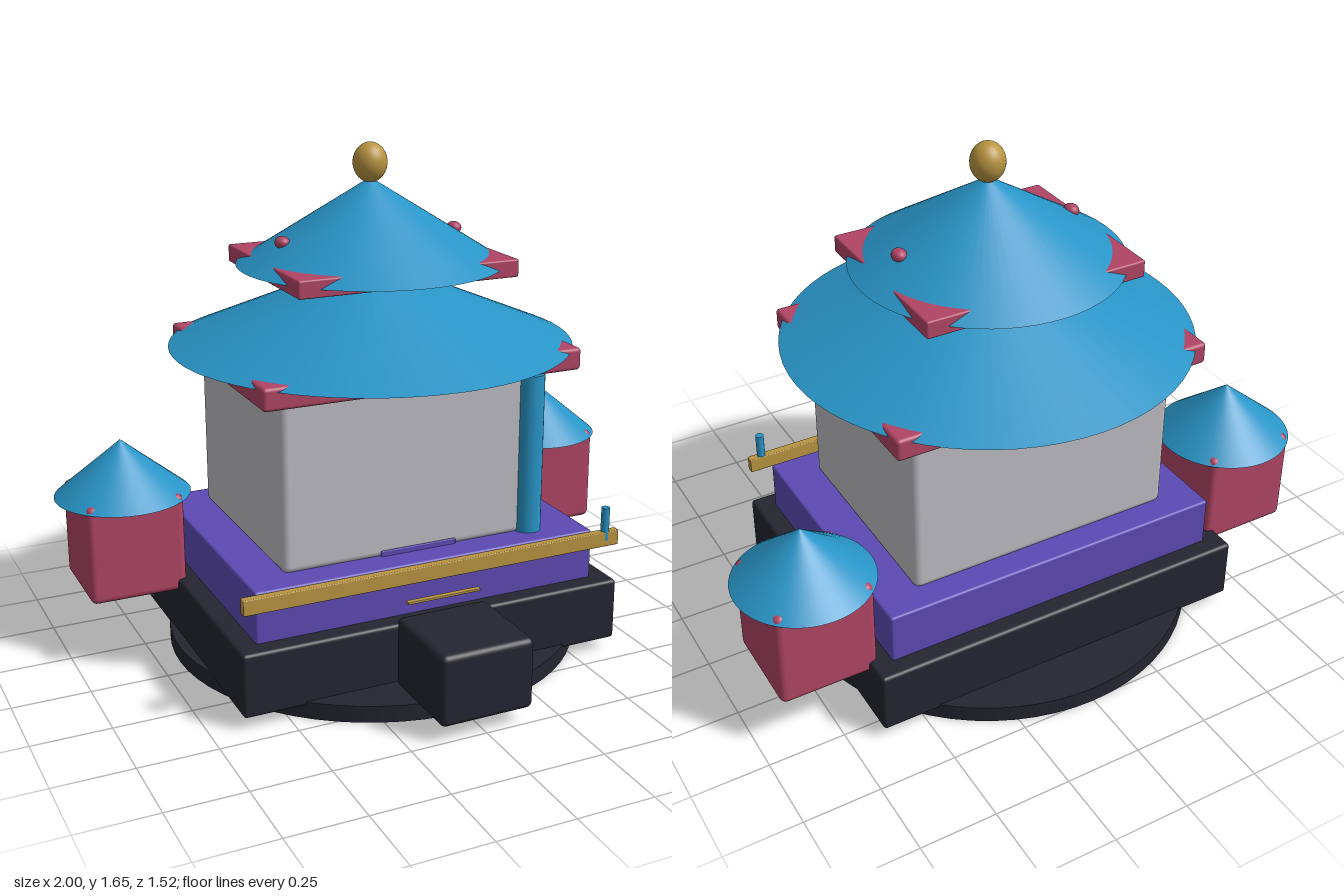
import * as THREE from 'three';
import { RoundedBoxGeometry } from 'three/addons/geometries/RoundedBoxGeometry.js';

const mat = (name, color) => {
  const m = new THREE.MeshStandardMaterial({ color });
  m.name = name;
  return m;
};

export function createModel() {
  const model = new THREE.Group();
  model.name = 'pagoda';
  const blue = mat('roof blue', 0x2894c6);
  const red = mat('eave red', 0xb04564);
  const grey = mat('wall grey', 0xbcbbc1);
  const purple = mat('plinth purple', 0x5c4ab4);
  const dark = mat('stone dark', 0x242530);
  const gold = mat('trim gold', 0xb8943f);
  const Z = -0.073; // centre line of the main building

  const add = (name, geometry, material, x, y, z, parent = model) => {
    const mesh = new THREE.Mesh(geometry, material);
    mesh.name = name;
    mesh.position.set(x, y, z);
    parent.add(mesh);
    return mesh;
  };
  // box given by its limits on each axis, with softened edges
  const block = (name, material, [x0, x1], [y0, y1], [z0, z1], r = 0.012, parent = model) =>
    add(name, new RoundedBoxGeometry(x1 - x0, y1 - y0, z1 - z0, 3, r), material,
      (x0 + x1) / 2, (y0 + y1) / 2, (z0 + z1) / 2, parent);
  const cone = (name, r, y0, y1, x, z, parent = model) =>
    add(name, new THREE.ConeGeometry(r, y1 - y0, 64), blue, x, (y0 + y1) / 2, z, parent);

  // foundation and front step
  add('foundationDisc', new THREE.CylinderGeometry(0.685, 0.685, 0.055, 64), dark, 0, 0.0275, Z);
  block('stoneBase', dark, [-0.65, 0.65], [0.04, 0.247], [-0.582, 0.44]);
  block('frontStep', dark, [-0.155, 0.155], [0.05, 0.28], [0.447, 0.757], 0.02);
  block('plinth', purple, [-0.585, 0.585], [0.235, 0.412], [-0.52, 0.38], 0.008);

  // hall with its corner column and threshold
  block('hallWalls', grey, [-0.457, 0.457], [0.405, 0.97], [-0.435, 0.287], 0.024);
  add('cornerColumn', new THREE.CylinderGeometry(0.045, 0.045, 0.53, 32), blue, 0.4, 0.675, 0.276);
  block('threshold', purple, [-0.13, 0.13], [0.405, 0.43], [0.28, 0.292], 0.003);

  // front railing
  block('rail', gold, [-0.645, 0.645], [0.376, 0.426], [0.418, 0.446], 0.003);
  add('railPost', new THREE.CylinderGeometry(0.014, 0.014, 0.11, 16), blue, 0.6, 0.452, 0.433);
  block('stepTrim', gold, [-0.125, 0.125], [0.322, 0.33], [0.453, 0.472], 0.002);

  // two roof tiers, eave corners pierce the cones
  block('lowerEave', red, [-0.535, 0.535], [0.955, 1.027], [-0.5, 0.355]);
  cone('lowerRoof', 0.652, 1.012, 1.285, 0, Z);
  block('upperEave', red, [-0.371, 0.371], [1.245, 1.302], [-0.378, 0.232], 0.006);
  cone('upperRoof', 0.43, 1.27, 1.54, 0, Z);
  add('finial', new THREE.SphereGeometry(0.055, 32, 20), gold, 0, 1.587, Z).scale.y = 1.15;

  for (const s of [-1, 1]) {
    add('roofStud', new THREE.SphereGeometry(0.028, 20, 14), red, s * 0.3, 1.356, Z).scale.set(0.85, 0.72, 1);

    // side turret
    const turret = new THREE.Group();
    turret.name = s > 0 ? 'leftTurret' : 'rightTurret';
    turret.position.set(s * 0.778, 0, -0.331);
    model.add(turret);
    block('turretBody', red, [-0.16, 0.16], [0.205, 0.538], [-0.16, 0.16], 0.022, turret);
    cone('turretRoof', 0.222, 0.517, 0.702, 0, 0, turret);
  }
  return model;
}
